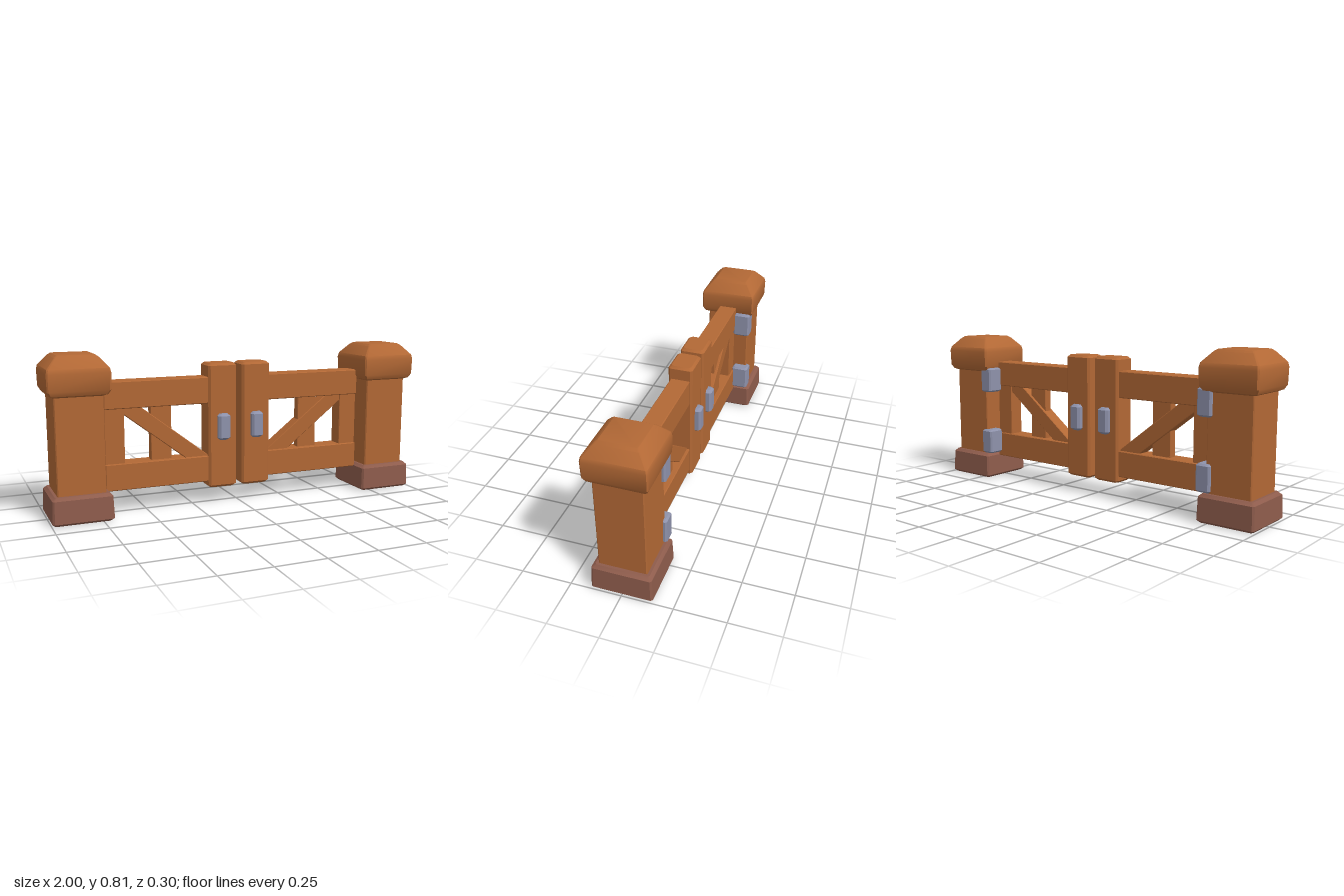
import * as THREE from 'three';
import { toCreasedNormals } from 'three/addons/utils/BufferGeometryUtils.js';

const material = (name, color) => {
  const m = new THREE.MeshStandardMaterial({ color });
  m.name = name;
  return m;
};

// Stacks rectangular rings [halfX, halfZ, y] with clipped corners into a closed solid.
function stack(rings, clip) {
  const pos = [], index = [], n = 8;
  for (const [hx, hz, y] of rings) {
    const a = hx - clip, b = hz - clip;
    for (const [x, z] of [[hx, -b], [hx, b], [a, hz], [-a, hz], [-hx, b], [-hx, -b], [-a, -hz], [a, -hz]]) pos.push(x, y, z);
  }
  for (let r = 0; r < rings.length - 1; r++) {
    for (let i = 0; i < n; i++) {
      const a = r * n + i, b = r * n + (i + 1) % n;
      index.push(a, a + n, b, b, a + n, b + n);
    }
  }
  const top = (rings.length - 1) * n;
  for (let i = 1; i < n - 1; i++) index.push(0, i, i + 1, top, top + i + 1, top + i);
  const g = new THREE.BufferGeometry();
  g.setAttribute('position', new THREE.Float32BufferAttribute(pos, 3));
  g.setIndex(index);
  return toCreasedNormals(g, 0.6);
}

// A box with chamfered edges, centred on its origin.
function block(w, h, d, c) {
  const x = w / 2, y = h / 2, z = d / 2;
  return stack([[x - c, z - c, -y], [x, z, c - y], [x, z, y - c], [x - c, z - c, y]], c * 0.9);
}

export function createModel() {
  const wood = material('wood', 0xb26835);
  const footing = material('footing brown', 0x8e5c4c);
  const metal = material('grey metal', 0x8e92ab);

  const model = new THREE.Group();
  model.name = 'doubleGate';

  const add = (parent, name, geometry, mat, x, y, z = 0) => {
    const mesh = new THREE.Mesh(geometry, mat);
    mesh.name = name;
    mesh.position.set(x, y, z);
    parent.add(mesh);
    return mesh;
  };
  const square = (profile, clip) => stack(profile.map(([h, y]) => [h, h, y]), clip);

  // Post profiles: half width, height
  const shaft = square([[0.118, 0.12], [0.118, 0.63]], 0.005);
  const base = square([[0.137, 0], [0.15, 0.012], [0.146, 0.124], [0.131, 0.139]], 0.009);
  const cap = square([[0.119, 0.612], [0.138, 0.62], [0.15, 0.642], [0.152, 0.725], [0.147, 0.747],
    [0.104, 0.797], [0.09, 0.807]], 0.007);

  for (const s of [-1, 1]) {
    const side = s > 0 ? 'left' : 'right';

    // Post with footing, cap and two hinges on its inner back corner
    const post = new THREE.Group();
    post.name = side + 'Post';
    model.add(post);
    add(post, 'shaft', shaft, wood, s * 0.847, 0);
    add(post, 'base', base, footing, s * 0.847, 0);
    add(post, 'cap', cap, wood, s * 0.847, 0);
    for (const y of [0.21, 0.565]) {
      add(post, 'hinge', block(0.076, 0.136, 0.092, 0.009), metal, s * 0.719, y, -0.09);
    }

    // Gate leaf: rails, stiles and brace
    const leaf = new THREE.Group();
    leaf.name = side + 'Leaf';
    leaf.position.x = -0.003;
    model.add(leaf);
    for (const y of [0.187, 0.598]) {
      add(leaf, 'rail', block(0.58, 0.136, 0.098, 0.004), wood, s * 0.42, y, -0.003);
    }
    add(leaf, 'meetingStile', block(0.155, 0.65, 0.125, 0.012), wood, s * 0.093, 0.41, -0.003);
    add(leaf, 'hingeStile', block(0.1, 0.32, 0.08, 0.003), wood, s * 0.659, 0.392, -0.003);
    add(leaf, 'middleStile', block(0.108, 0.32, 0.044, 0.003), wood, s * 0.414, 0.392, -0.003);
    const brace = add(leaf, 'brace', block(0.56, 0.08, 0.07, 0.003), wood, s * 0.39, 0.38, -0.003);
    brace.rotation.z = s * 0.656;

    // Handle plates on both faces
    add(leaf, 'handle', block(0.065, 0.137, 0.186, 0.012), metal, s * 0.093, 0.408, -0.003);
  }
  return model;
}
